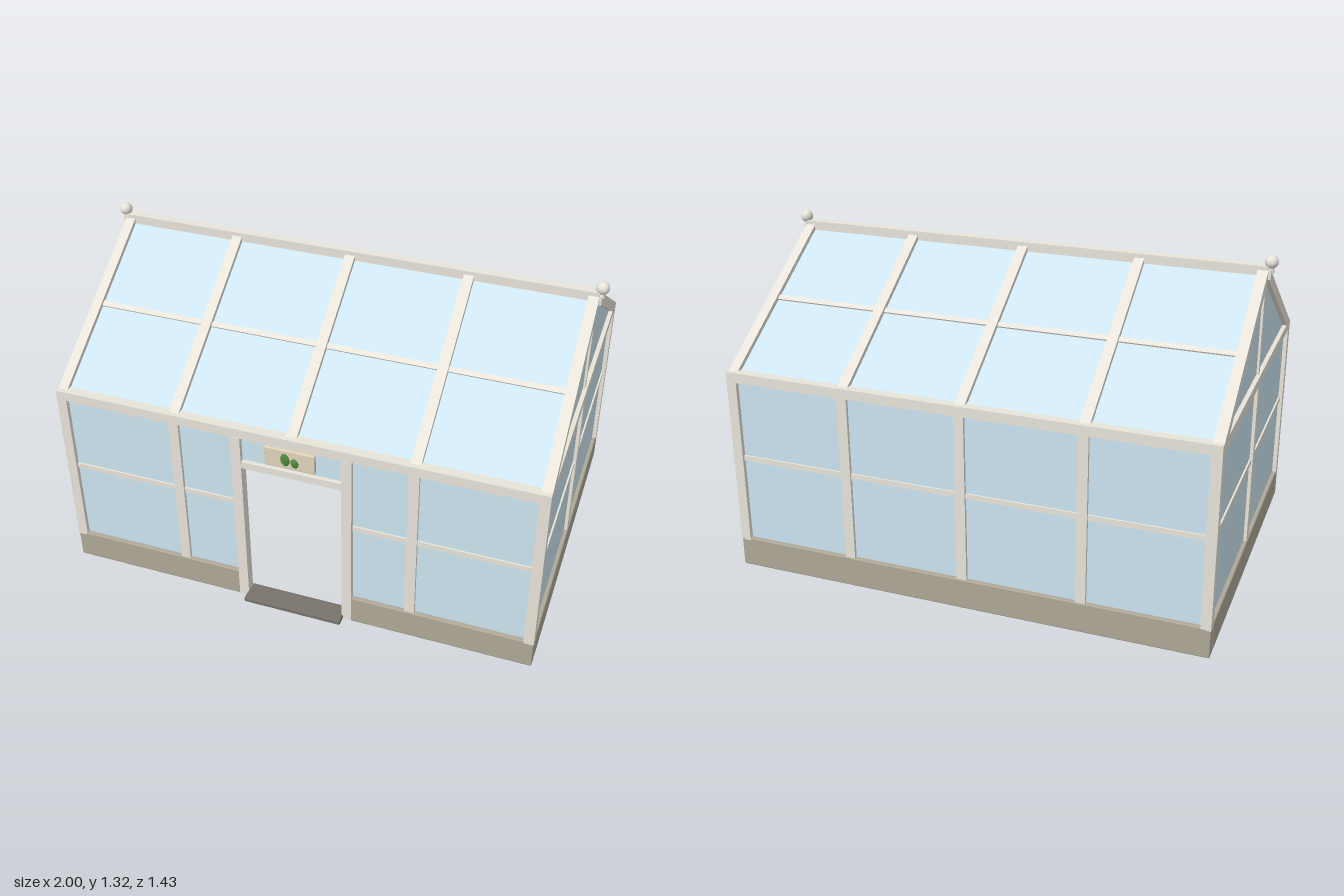
import * as THREE from 'three';
import { RoundedBoxGeometry } from 'three/addons/geometries/RoundedBoxGeometry.js';

const paint = (color) => new THREE.MeshStandardMaterial({ color });

export function createModel() {
  const model = new THREE.Group();
  model.name = 'greenhouse';
  const house = new THREE.Group();
  house.name = 'house';
  house.position.z = -0.02;
  model.add(house);

  const frame = paint(0xe8e4da), glass = paint(0xcde5f1), stone = paint(0xaea898);
  const dark = paint(0x77736a), wood = paint(0xe0d3b8), leaf = paint(0x4f8a3c);

  const add = (name, geometry, material) => {
    const mesh = new THREE.Mesh(geometry, material);
    mesh.name = name;
    house.add(mesh);
    return mesh;
  };
  // Box given by its limits on each axis; a radius rounds its edges
  const box = (name, material, x0, x1, y0, y1, z0, z1, radius = 0) => {
    const size = [x1 - x0, y1 - y0, z1 - z0];
    const geometry = radius ? new RoundedBoxGeometry(...size, 2, radius) : new THREE.BoxGeometry(...size);
    const mesh = add(name, geometry, material);
    mesh.position.set((x0 + x1) / 2, (y0 + y1) / 2, (z0 + z1) / 2);
    return mesh;
  };
  // Profile in (z, y) extruded along x, centred on x
  const slab = (name, material, points, x, width) => {
    const shape = new THREE.Shape(points.map(([z, y]) => new THREE.Vector2(-z, y)));
    const geometry = new THREE.ExtrudeGeometry(shape, { depth: width, bevelEnabled: false });
    geometry.translate(0, 0, -width / 2).rotateY(Math.PI / 2);
    return add(name, geometry, material).position.set(x, 0, 0);
  };

  const X = 0.968, Z = 0.695, T = 0.04;
  const baseTop = 0.125, eaveLow = 0.805, eave = 0.845;
  const rafterX = [-X + T / 2, -0.475, 0, 0.475, X - T / 2];

  // Stone base, open at the door
  box('backBase', stone, -X, X, 0, baseTop, -Z, -Z + 0.045, 0.006);
  for (const s of [-1, 1]) {
    const c = s * (X + 0.232) / 2, h = (X - 0.232) / 2;
    box('frontBase', stone, c - h, c + h, 0, baseTop, Z - 0.045, Z, 0.006);
    const sx = s * (X - 0.0225);
    box('sideBase', stone, sx - 0.0225, sx + 0.0225, 0, baseTop, -Z + 0.05, Z - 0.05, 0.006);
  }

  for (const s of [-1, 1]) {
    const zc = s * (Z - T / 2), xc = s * (X - T / 2);

    // Corner posts, long eave beams and end tie beams
    for (const e of [-1, 1]) {
      const px = e * (X - T / 2);
      box('cornerPost', frame, px - T / 2, px + T / 2, baseTop - 0.01, eave, zc - T / 2, zc + T / 2);
    }
    box('eaveBeam', frame, -X, X, eaveLow, eave, zc - T / 2, zc + T / 2);
    box('tieBeam', frame, xc - T / 2, xc + T / 2, eaveLow, eave, -Z + T, Z - T);

    // Long wall uprights
    for (const x of s > 0 ? [-0.475, 0.475] : [-0.475, 0, 0.475])
      box('wallMullion', frame, x - T / 2, x + T / 2, baseTop - 0.01, eaveLow, zc - 0.016, zc + 0.016);

    // End wall: upright, rail, gable bar and panes
    box('endMullion', frame, xc - 0.016, xc + 0.016, baseTop - 0.01, eaveLow, -T / 2, T / 2);
    box('endRail', frame, xc - 0.01, xc + 0.01, 0.47, 0.492, -Z + T, Z - T);
    box('gableBar', frame, xc - 0.012, xc + 0.012, eave, 1.24, -0.011, 0.011);
    box('endGlass', glass, xc - 0.003, xc + 0.003, baseTop - 0.01, eaveLow, -Z + T / 2, Z - T / 2);
    slab('gableGlass', glass, [[-0.62, 0.84], [0.62, 0.84], [0, 1.235]], xc, 0.006);

    // Door jamb with the front rail and pane beside it
    const jx = s * 0.22, fc = s * 0.585, fz = Z - T / 2;
    box('doorJamb', frame, jx - T / 2, jx + T / 2, 0.005, eaveLow, Z - T, Z + 0.002);
    box('frontRail', frame, fc - 0.35, fc + 0.35, 0.47, 0.492, fz - 0.01, fz + 0.01);
    box('frontGlass', glass, fc - 0.36, fc + 0.36, baseTop - 0.01, eaveLow, fz - 0.003, fz + 0.003);

    // Roof slope
    for (const x of rafterX)
      slab('rafter', frame, [[0, 1.275], [s * 0.675, 0.845], [s * 0.595, 0.845], [0, 1.224]], x, T);
    slab('roofGlass', glass, [[0, 1.254], [s * 0.655, 0.837], [s * 0.655, 0.829], [0, 1.246]], 0, 2 * X - T);
    const purlin = box('purlin', frame, -X + T, X - T, 1.026, 1.047, s * 0.335 - 0.011, s * 0.335 + 0.011);
    purlin.rotation.x = s * Math.atan(0.637);

    // Ridge end block and ball finial
    const ex = s * 0.97;
    box('ridgeCap', frame, ex - 0.008, ex + 0.008, 1.228, 1.265, -0.021, 0.021);
    add('finialNeck', new THREE.CylinderGeometry(0.01, 0.012, 0.03, 16), frame).position.set(s * 0.975, 1.266, 0);
    add('finialBall', new THREE.SphereGeometry(0.025, 24, 16), frame).position.set(s * 0.975, 1.292, 0);
  }

  // Back wall rail and pane, ridge beam
  const bz = -Z + T / 2;
  box('backRail', frame, -X + T, X - T, 0.47, 0.492, bz - 0.01, bz + 0.01);
  box('backGlass', glass, -X + T / 2, X - T / 2, baseTop - 0.01, eaveLow, bz - 0.003, bz + 0.003);
  box('ridgeBeam', frame, -X, X, 1.237, 1.278, -T / 2, T / 2);

  // Doorway: lintel, fanlight and threshold
  box('doorLintel', frame, -0.2, 0.2, 0.665, 0.695, Z - T, Z);
  box('fanlight', glass, -0.2, 0.2, 0.695, eaveLow, Z - T / 2 - 0.003, Z - T / 2 + 0.003);
  box('threshold', dark, -0.205, 0.205, 0.003, 0.025, Z - 0.05, 0.737, 0.006);

  // Sign board with two leaves
  box('signBoard', wood, -0.1, 0.1, 0.716, 0.8, Z - 0.008, Z + 0.008, 0.004);
  for (const [x, y, rx, ry, tilt] of [[-0.017, 0.758, 0.018, 0.028, 0.1], [0.021, 0.75, 0.015, 0.021, 0.25]]) {
    const blade = add('signLeaf', new THREE.SphereGeometry(1, 20, 12), leaf);
    blade.scale.set(rx, ry, 0.009);
    blade.position.set(x, y, Z + 0.008);
    blade.rotation.z = tilt;
  }
  return model;
}
